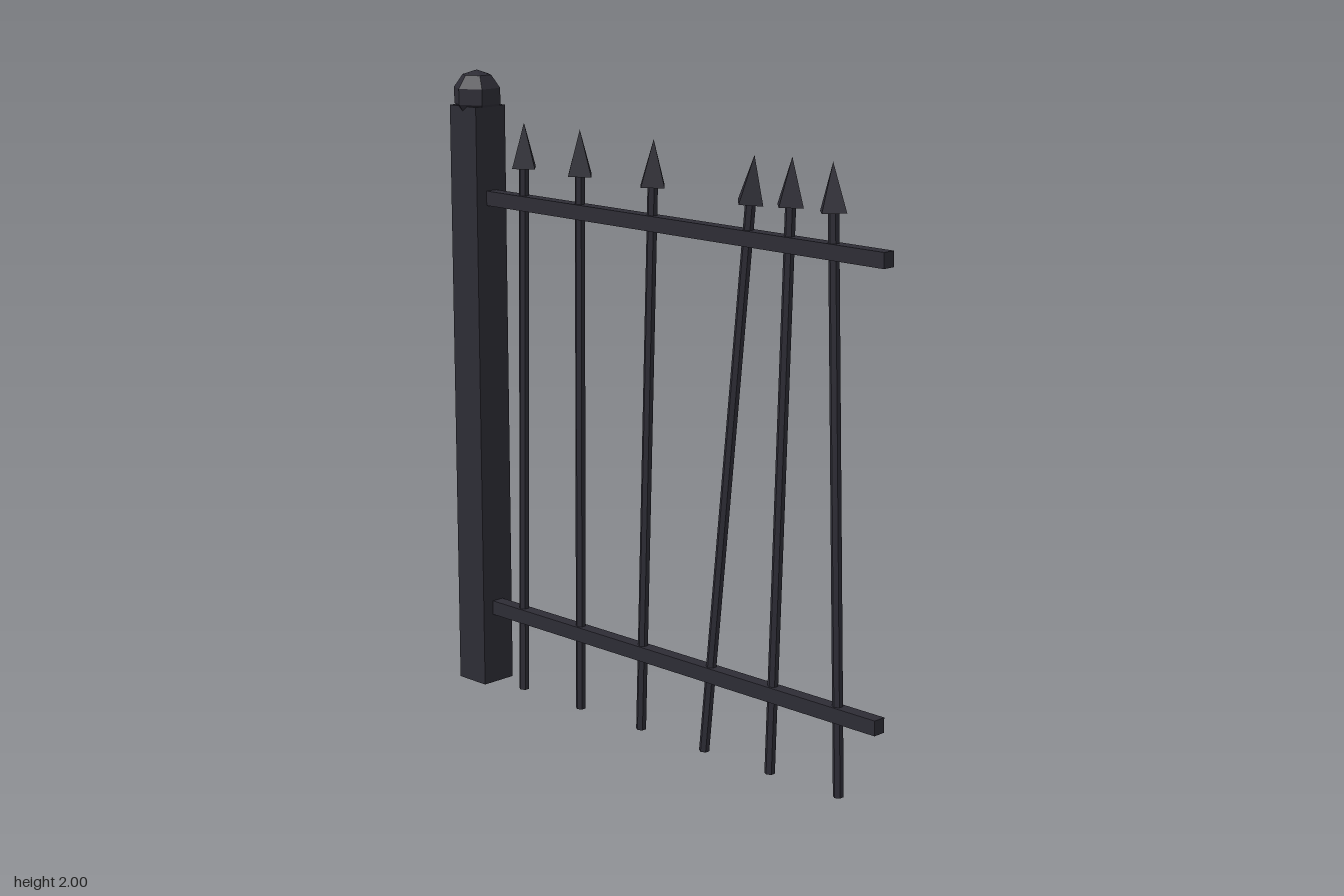
import * as THREE from 'three';

export function createModel() {
  const group = new THREE.Group();
  const iron = new THREE.MeshStandardMaterial({ color: 0x2d2c35 });
  iron.name = 'darkIron';
  iron.flatShading = true;

  const add = (parent, name, geometry, x, y, z = 0) => {
    const mesh = new THREE.Mesh(geometry, iron);
    mesh.name = name;
    mesh.position.set(x, y, z);
    parent.add(mesh);
    return mesh;
  };

  // Square post with a faceted ball on top
  const postX = -0.81;
  add(group, 'post', new THREE.BoxGeometry(0.122, 1.89, 0.122), postX, 0.945);
  const ball = add(group, 'postBall', new THREE.SphereGeometry(0.08, 6, 5), postX, 1.92);
  ball.rotation.y = Math.PI / 6;

  // Two horizontal rails running from the post
  const railGeometry = new THREE.BoxGeometry(1.63, 0.046, 0.042);
  add(group, 'lowerRail', railGeometry, 0.06, 0.255);
  add(group, 'upperRail', railGeometry, 0.06, 1.602);

  // Crooked bars with spear points: [foot x, tip x]
  const bars = [
    [-0.626, -0.594], [-0.358, -0.344], [-0.086, -0.029],
    [0.186, 0.375], [0.456, 0.518], [0.726, 0.669],
  ];
  const barGeometry = new THREE.CylinderGeometry(0.016, 0.016, 1.72, 6);
  const spearGeometry = new THREE.ConeGeometry(0.05, 0.14, 4);
  for (const [footX, tipX] of bars) {
    const bar = new THREE.Group();
    bar.name = 'spearBar';
    bar.position.x = footX;
    bar.rotation.z = -Math.atan2(tipX - footX, 1.85);
    add(bar, 'barShaft', barGeometry, 0, 0.862);
    add(bar, 'spearPoint', spearGeometry, 0, 1.782);
    group.add(bar);
  }

  return group;
}
